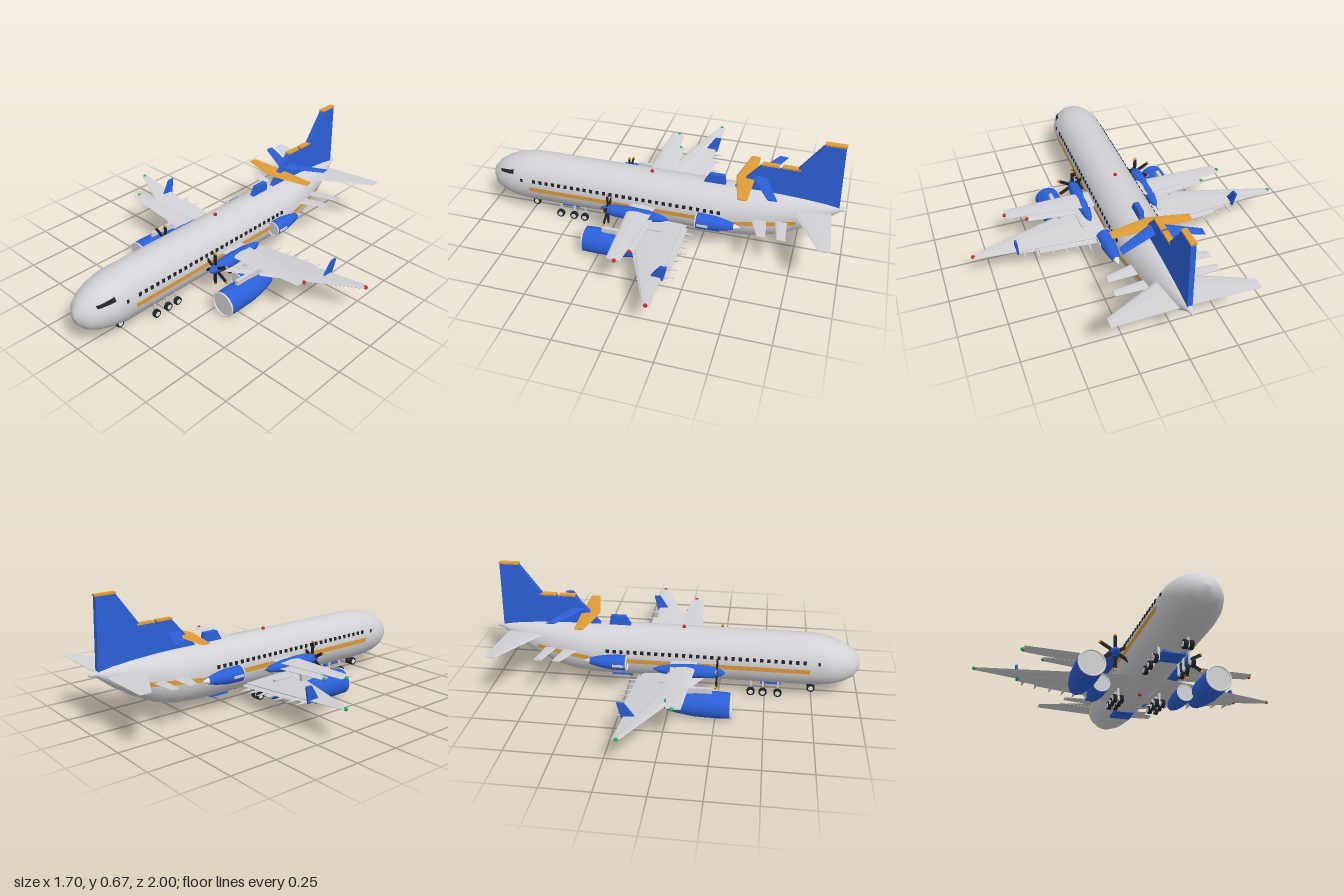
import * as THREE from 'three';

const mat = (name, color) => {
  const m = new THREE.MeshStandardMaterial({ color, side: THREE.DoubleSide });
  m.name = name;
  return m;
};

// Fuselage stations: z, half width, top y, bottom y
const STATIONS = [
  [1, 0, 0.19, 0.19], [0.99, 0.035, 0.227, 0.15], [0.96, 0.078, 0.264, 0.115], [0.91, 0.11, 0.297, 0.09],
  [0.85, 0.129, 0.322, 0.072], [0.78, 0.137, 0.339, 0.062], [0.7, 0.138, 0.345, 0.06],
  [-0.42, 0.138, 0.345, 0.057], [-0.55, 0.121, 0.345, 0.066], [-0.66, 0.1, 0.342, 0.095],
  [-0.78, 0.073, 0.335, 0.155], [-0.88, 0.045, 0.326, 0.22], [-0.96, 0.018, 0.314, 0.284],
  [-0.995, 0.008, 0.306, 0.293], [-1, 0, 0.3, 0.3],
];

// Half width of the fuselage skin at a given z and y
function skinX(z, y) {
  let i = 0;
  while (i < STATIONS.length - 2 && z < STATIONS[i + 1][0]) i++;
  const a = STATIONS[i], b = STATIONS[i + 1], t = (z - a[0]) / (b[0] - a[0]);
  const [, w, top, bot] = a.map((v, k) => v + (b[k] - v) * t);
  const d = (y - (top + bot) / 2) / ((top - bot) / 2);
  return w * Math.sqrt(Math.max(0, 1 - d * d));
}

// Skin a list of rings (closed loops of equal length); flat gives faceted normals and end caps
function loft(rings, flat) {
  const n = rings[0].length, idx = [], last = (rings.length - 1) * n;
  for (let i = 0; i < rings.length - 1; i++)
    for (let j = 0; j < n; j++) {
      const a = i * n + j, b = i * n + ((j + 1) % n);
      idx.push(a, a + n, b, a + n, b + n, b);
    }
  if (flat)
    for (let j = 1; j < n - 1; j++) idx.push(0, j, j + 1, last, last + j + 1, last + j);
  let g = new THREE.BufferGeometry();
  g.setAttribute('position', new THREE.Float32BufferAttribute(rings.flat(2), 3));
  g.setIndex(idx);
  if (flat) g = g.toNonIndexed();
  g.computeVertexNormals();
  return g;
}

// Tapered wing half; root and tip are [x, y, front z, back z, thickness]
function wingGeometry(s, root, tip) {
  const ring = ([x, y, f, b, t]) => {
    const at = (k, h) => [s * x, y + h * t, f + (b - f) * k];
    const pts = [at(0, 0), at(0.1, -0.4), at(0.4, -0.5), at(1, -0.1), at(1, 0.1), at(0.4, 0.5), at(0.1, 0.4)];
    return s > 0 ? pts : pts.reverse();
  };
  return loft([ring(tip), ring(root)], true);
}

// Vertical slab from [z, y] points, centred on x = 0
function slab(points, depth) {
  const shape = new THREE.Shape(points.map(([z, y]) => new THREE.Vector2(-z, y)));
  return new THREE.ExtrudeGeometry(shape, { depth, bevelEnabled: false }).translate(0, 0, -depth / 2).rotateY(Math.PI / 2);
}

// Body of revolution along z; points are [radius, z] from back to front
const spun = (points, sides = 28) =>
  new THREE.LatheGeometry(points.map(([r, z]) => new THREE.Vector2(r, z)), sides).rotateX(Math.PI / 2);

// Band lying on the fuselage skin between two height lines
function skinBand(s, z0, z1, low, high, steps) {
  const pos = [], idx = [];
  for (let i = 0; i <= steps; i++) {
    const t = i / steps, z = z0 + (z1 - z0) * t;
    for (const y of [low[0] + (low[1] - low[0]) * t, high[0] + (high[1] - high[0]) * t])
      pos.push(s * (skinX(z, y) + 0.003), y, z);
    const a = i * 2;
    if (i < steps) idx.push(...(s > 0 ? [a, a + 2, a + 1, a + 1, a + 2, a + 3] : [a, a + 1, a + 2, a + 1, a + 3, a + 2]));
  }
  const g = new THREE.BufferGeometry();
  g.setAttribute('position', new THREE.Float32BufferAttribute(pos, 3));
  g.setIndex(idx);
  g.computeVertexNormals();
  return g;
}

export function createModel() {
  const group = new THREE.Group();
  const grey = mat('bodyGrey', 0xd2d2d6), blue = mat('blue', 0x2c60d8), orange = mat('orange', 0xe09c38);
  const black = mat('black', 0x1f2328), red = mat('redLight', 0xd02828), green = mat('greenLight', 0x20b468);
  const silver = mat('silver', 0xe2e2e4);

  const add = (name, geo, material, x = 0, y = 0, z = 0) => {
    const m = new THREE.Mesh(geo, material);
    m.name = name;
    m.position.set(x, y, z);
    group.add(m);
    return m;
  };
  const box = (name, w, h, d, material, x, y, z) => add(name, new THREE.BoxGeometry(w, h, d), material, x, y, z);

  // Fuselage
  add('fuselage', loft(STATIONS.map(([z, w, top, bot]) =>
    Array.from({ length: 40 }, (_, j) => {
      const a = (j / 40) * Math.PI * 2;
      return [w * Math.cos(a), (top + bot) / 2 + ((top - bot) / 2) * Math.sin(a), z];
    }))), grey);
  add('cockpitWindow', skinBand(1, 0.92, 0.83, [0.25, 0.262], [0.262, 0.282], 6), black);
  add('beacon', new THREE.SphereGeometry(0.01, 12, 8), red, 0, 0.35, 0.05);
  add('bellyBeacon', new THREE.SphereGeometry(0.01, 12, 8), red, 0, 0.055, 0.05);
  for (const z of [0.53, -0.29]) box('bellyFairing', 0.11, 0.02, 0.11, blue, 0, 0.067, z);

  // Fins with orange caps
  const fins = [
    [[-0.6, 0.335], [-0.845, 0.67], [-0.945, 0.67], [-0.955, 0.31]],
    [[-0.5, 0.335], [-0.65, 0.5], [-0.735, 0.5], [-0.76, 0.335]],
    [[-0.4, 0.335], [-0.545, 0.5], [-0.625, 0.5], [-0.65, 0.335]],
    [[-0.235, 0.335], [-0.27, 0.395], [-0.35, 0.395], [-0.36, 0.335]],
  ];
  fins.forEach((p, i) => {
    add('fin', slab(p, 0.026), blue);
    if (i < 3) box('finCap', 0.03, 0.009, p[1][0] - p[2][0] + 0.008, orange, 0, p[1][1] + 0.003, (p[1][0] + p[2][0]) / 2);
  });

  const wheel = (x, z, r = 0.022) => {
    add('tyre', new THREE.CylinderGeometry(r, r, 0.018, 20).rotateZ(Math.PI / 2), black, x, r + 0.004, z);
    add('wheelHub', new THREE.CylinderGeometry(r * 0.6, r * 0.6, 0.022, 16).rotateZ(Math.PI / 2), silver, x, r + 0.004, z);
  };

  for (const s of [1, -1]) {
    // Lifting surfaces: name, material, root, tip
    [
      ['mainWing', grey, [0.08, 0.1, 0.19, -0.15, 0.03], [0.84, 0.185, -0.15, -0.185, 0.008]],
      ['upperWing', grey, [0.08, 0.205, 0.14, -0.01, 0.018], [0.62, 0.225, 0.105, 0.03, 0.008]],
      ['middleWing', grey, [0.08, 0.175, 0.12, -0.02, 0.016], [0.51, 0.2, 0.05, 0.0, 0.008]],
      ['lowerWing', grey, [0.08, 0.09, 0.12, -0.17, 0.024], [0.61, 0.145, -0.1, -0.175, 0.008]],
      ['flap', grey, [0.13, 0.1, -0.14, -0.185, 0.01], [0.5, 0.138, -0.15, -0.2, 0.008]],
      ['tailplane', grey, [0.02, 0.278, -0.7, -0.92, 0.018], [0.37, 0.298, -0.885, -0.945, 0.006]],
      ['rearStabilizer', grey, [0.03, 0.215, -0.63, -0.7, 0.012], [0.27, 0.24, -0.675, -0.72, 0.006]],
      ['frontStabilizer', grey, [0.03, 0.215, -0.49, -0.59, 0.012], [0.27, 0.24, -0.575, -0.62, 0.006]],
      ['sweptTailWing', blue, [0, 0.428, -0.485, -0.565, 0.012], [0.21, 0.43, -0.605, -0.655, 0.007]],
      ['straightTailWing', orange, [0, 0.403, -0.41, -0.51, 0.012], [0.21, 0.405, -0.455, -0.505, 0.007]],
    ].forEach(([name, m, root, tip]) => add(name, wingGeometry(s, root, tip), m));
    const winglet = add('winglet', slab([[-0.11, 0], [-0.17, 0.09], [-0.205, 0.09], [-0.185, 0]], 0.01), blue, s * 0.612, 0.148, 0);
    winglet.rotation.z = -s * 0.08;

    // Wing tip lights
    for (const [x, y, z] of [[0.84, 0.185, -0.165], [0.625, 0.225, 0.06], [0.512, 0.2, 0.02], [0.612, 0.145, -0.13]])
      add('tipLight', new THREE.SphereGeometry(0.01, 12, 8), s > 0 ? red : green, s * x, y, z);

    // Flap track pods
    for (const x of [0.17, 0.23, 0.3, 0.36, 0.43, 0.51, 0.58])
      add('flapPod', spun([[0.001, -0.25 + x * 0.03], [0.007, -0.19], [0.008, -0.13], [0.001, -0.08]], 10), grey, s * x, 0.078 + x * 0.11, 0);

    // Large and small underwing engines
    for (const [x, y, r, front, back] of [[0.327, 0.076, 0.07, 0.33, 0], [0.225, 0.065, 0.046, 0.12, -0.08]]) {
      const len = front - back;
      add('engineCowl', spun([[r * 0.55, back - 0.01], [r * 0.78, back + len * 0.15], [r * 0.97, back + len * 0.45], [r, back + len * 0.8], [r * 0.96, front]]), blue, s * x, y, 0);
      add('engineLip', new THREE.TorusGeometry(r * 0.94, r * 0.07, 10, 32), silver, s * x, y, front);
      add('engineFan', new THREE.CircleGeometry(r * 0.93, 28), grey, s * x, y, front - 0.004);
      add('engineCone', spun([[0.003, back - r], [r * 0.3, back - r * 0.6], [r * 0.56, back - 0.005]]), silver, s * x, y, 0);
      box('enginePylon', 0.018, 0.05, len * 0.6, grey, s * x, y + r, back + len * 0.4);
    }

    // Propeller nacelle
    add('nacelle', spun([[0.002, -0.095], [0.018, -0.06], [0.032, 0.02], [0.036, 0.12], [0.033, 0.2], [0.026, 0.245], [0.014, 0.275], [0.001, 0.288]], 20), blue, s * 0.19, 0.187, 0);
    for (let k = 0; k < 6; k++) {
      const blade = new THREE.Group();
      blade.name = 'propellerBlade';
      const part = (h, y, m) => {
        const b = new THREE.Mesh(new THREE.BoxGeometry(0.016, h, 0.008), m);
        b.name = m === black ? 'blade' : 'bladeTip';
        b.position.y = y;
        blade.add(b);
      };
      part(0.065, 0.055, black);
      part(0.01, 0.0925, orange);
      blade.position.set(s * 0.19, 0.187, 0.245);
      blade.rotation.z = (k * Math.PI) / 3;
      group.add(blade);
    }

    // Rear fuselage engine
    add('rearEngine', spun([[0.018, -0.44], [0.03, -0.39], [0.04, -0.33], [0.042, -0.24]]), blue, s * 0.165, 0.197, 0);
    add('rearEngineLip', new THREE.TorusGeometry(0.04, 0.004, 8, 28), silver, s * 0.165, 0.197, -0.24);
    add('rearEngineFan', new THREE.CircleGeometry(0.04, 24), grey, s * 0.165, 0.197, -0.244);
    add('rearEngineCone', spun([[0.001, -0.475], [0.018, -0.435]], 16), silver, s * 0.165, 0.197, 0);
    box('rearEnginePylon', 0.09, 0.012, 0.06, grey, s * 0.167, 0.197, -0.28);

    // Stripes and cabin windows
    add('stripe', skinBand(s, 0.73, -0.46, [0.18, 0.18], [0.206, 0.206], 32), orange);
    add('tailStripe', skinBand(s, -0.46, -0.75, [0.185, 0.208], [0.21, 0.232], 12), orange);
    for (let z = 0.7; z > -0.38; z -= 0.0375)
      box('cabinWindow', 0.006, 0.019, 0.017, black, s * skinX(z, 0.242), 0.242, z);
    box('doorWindow', 0.006, 0.017, 0.012, black, s * skinX(0.775, 0.238), 0.238, 0.775);

    // Landing gear
    wheel(s * 0.014, 0.75);
    for (const z of [0.57, 0.49, 0.425]) {
      wheel(s * 0.09, z);
      box('gearStrut', 0.01, 0.07, 0.01, grey, s * 0.075, 0.055, z);
    }
    for (const z of [0.03, -0.025, -0.08]) {
      for (const x of [0.095, 0.13]) wheel(s * x, z);
      box('mainGearStrut', 0.012, 0.08, 0.012, grey, s * 0.112, 0.06, z);
    }
  }
  box('noseGearStrut', 0.008, 0.06, 0.012, grey, 0, 0.045, 0.75);
  return group;
}
